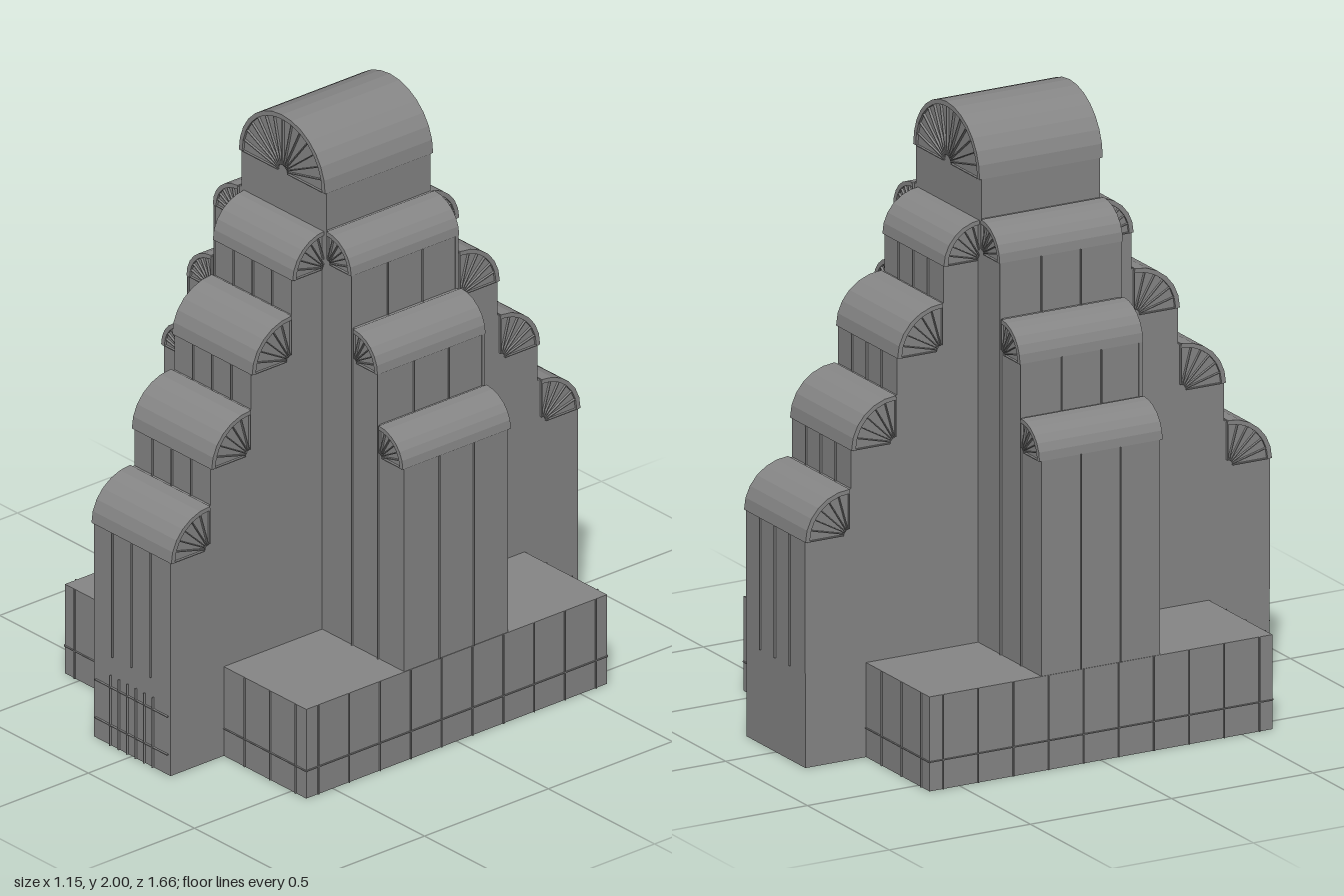
import * as THREE from 'three';

const stone = new THREE.MeshStandardMaterial({ color: 0x868686, side: THREE.DoubleSide });
stone.name = 'grey stone';

const PODIUM = { x: 0.568, y: 0.305, z: 0.607 };
const ARC = 6;

function add(parent, name, geometry, x = 0, y = 0, z = 0) {
  const mesh = new THREE.Mesh(geometry, stone);
  mesh.name = name;
  mesh.position.set(x, y, z);
  parent.add(mesh);
  return mesh;
}

function box(parent, name, w, h, d, x, y, z) {
  return add(parent, name, new THREE.BoxGeometry(w, h, d), x, y, z);
}

// Box standing on y = 0 with no underside
function openBox(parent, name, w, h, d, z = 0) {
  const g = new THREE.BoxGeometry(w, h, d);
  const index = Array.from(g.index.array);
  index.splice(18, 6);
  g.setIndex(index);
  g.clearGroups();
  return add(parent, name, g, 0, h / 2, z);
}

// Extrude a list of [u, y] points, centred on depth
function slab(parent, name, points, depth) {
  const shape = new THREE.Shape(points.map(([u, y]) => new THREE.Vector2(u, y)));
  const g = new THREE.ExtrudeGeometry(shape, { depth, bevelEnabled: false });
  g.translate(0, 0, -depth / 2);
  return add(parent, name, g);
}

// Elliptical arc of points between two angles
function arc(cx, cy, rx, ry, a0, a1, n) {
  return Array.from({ length: n + 1 }, (_, i) => {
    const a = a0 + (a1 - a0) * i / n;
    return [cx + rx * Math.cos(a), cy + ry * Math.sin(a)];
  });
}

// Radiating ribs on the end of a vault
function fan(parent, cx, cy, rx, ry, w, a0, a1, n) {
  arc(cx, cy, rx, ry, a0, a1, n).forEach(([u, y]) => {
    const length = Math.hypot(u - cx, y - cy) * 0.85;
    const a = Math.atan2(y - cy, u - cx);
    const rib = box(parent, 'fanRib', length, 0.003, 0.016,
      cx + (u - cx) * 0.55, cy + (y - cy) * 0.55, w);
    rib.rotation.z = a;
  });
}

// Stepped wing pair; each step is [outer, spring height, inner, top]
function steppedWing(name, steps, half, ribs, seams) {
  const wing = new THREE.Group();
  wing.name = name;
  const right = [[steps[0][0], PODIUM.y]];
  steps.forEach(([outer, spring, inner, top], i) => {
    right.push(...arc(inner, spring, outer - inner, top - spring, 0, Math.PI / 2, ARC));
    const next = steps[i + 1];
    if (next) right.push([next[0], top]);
  });
  const left = right.map(([u, y]) => [-u, y]).reverse();
  slab(wing, name + 'Walls', [...right, ...left], half * 2);

  for (const s of [-1, 1]) {
    steps.forEach(([outer, spring, inner, top], i) => {
      const rx = outer - inner, ry = top - spring, t = 0.012;
      // Slightly overhanging curved roof shell
      const shell = [
        ...arc(inner, spring, rx + 0.003, ry + 0.002, 0, Math.PI / 2, ARC),
        ...arc(inner, spring, rx - t, ry - t, Math.PI / 2, 0, ARC),
      ].map(([u, y]) => [u * s, y]);
      slab(wing, 'vaultRoof', shell, half * 2 + 0.016);
      for (const side of [-1, 1]) {
        const a0 = s > 0 ? 0 : Math.PI;
        fan(wing, inner * s, spring, rx, ry, side * half, a0, Math.PI / 2, 6);
        // Upright seam where two steps meet
        if (seams && i > 0) {
          box(wing, 'wallSeam', 0.003, spring - PODIUM.y, 0.012,
            outer * s, (spring + PODIUM.y) / 2, side * half);
        }
      }
      // Upright ribs on the end wall of the step
      const foot = i > 0 ? steps[i - 1][3] : PODIUM.y;
      for (const w of ribs) {
        box(wing, 'wallRib', 0.012, spring - foot, 0.003, outer * s, (spring + foot) / 2, w);
      }
    });
  }
  return wing;
}

export function createModel() {
  const model = new THREE.Group();
  model.name = 'steppedTower';

  // Podium with a grid of thin ribs
  openBox(model, 'podium', PODIUM.x * 2, PODIUM.y, PODIUM.z * 2);
  for (const s of [-1, 1]) {
    for (let i = 0; i <= 9; i++) {
      box(model, 'podiumRib', 0.01, PODIUM.y, 0.003, s * PODIUM.x, PODIUM.y / 2, -0.56 + i * 1.12 / 9);
    }
    box(model, 'podiumBand', 0.01, 0.003, PODIUM.z * 2, s * PODIUM.x, 0.095, 0);
    for (const m of [-1, 1]) {
      for (const x of [0.28, 0.40, 0.52]) {
        box(model, 'podiumRib', 0.003, PODIUM.y, 0.01, m * x, PODIUM.y / 2, s * PODIUM.z);
      }
      box(model, 'podiumBand', 0.385, 0.003, 0.01, m * 0.375, 0.095, s * PODIUM.z);
    }
    // Lower part of the front and back wings, in front of the podium
    openBox(model, 'wingFoot', 0.36, PODIUM.y, 0.215, s * (PODIUM.z + 0.1075));
  }

  // Wings to the sides
  model.add(steppedWing('sideWing', [
    [0.566, 1.0, 0.455, 1.105],
    [0.447, 1.28, 0.335, 1.39],
    [0.323, 1.57, 0.21, 1.677],
  ], 0.21, [-0.07, 0.07], true));

  // Wings to the front and back
  const longWing = steppedWing('longWing', [
    [0.823, 0.73, 0.67, 0.875],
    [0.66, 1.0, 0.505, 1.15],
    [0.497, 1.27, 0.34, 1.42],
    [0.333, 1.54, 0.2, 1.668],
  ], 0.18, [-0.09, 0, 0.09], false);
  longWing.rotation.y = -Math.PI / 2;
  model.add(longWing);

  // Central tower and its barrel roof
  const tower = new THREE.Group();
  tower.name = 'tower';
  model.add(tower);
  const dome = arc(0, 1.805, 0.197, 0.19, 0, Math.PI, 14);
  slab(tower, 'towerWalls', [[0.2, PODIUM.y], [0.2, 1.805], ...dome, [-0.2, 1.805], [-0.2, PODIUM.y]], 0.42);
  slab(tower, 'barrelRoof', [
    ...arc(0, 1.805, 0.203, 0.195, 0, Math.PI, 14),
    ...arc(0, 1.805, 0.188, 0.18, Math.PI, 0, 14),
  ], 0.436);
  for (const s of [-1, 1]) fan(tower, 0, 1.805, 0.19, 0.185, s * 0.21, 0, Math.PI, 14);

  // Entrance screen on the front
  const entrance = new THREE.Group();
  entrance.name = 'entrance';
  model.add(entrance);
  for (const x of [-0.1, -0.06, -0.02, 0.02, 0.06, 0.1]) {
    box(entrance, 'doorRib', 0.003, 0.24, 0.01, x, 0.12, 0.824);
  }
  for (const y of [0.07, 0.2]) box(entrance, 'doorBand', 0.34, 0.003, 0.01, 0, y, 0.824);

  return model;
}
